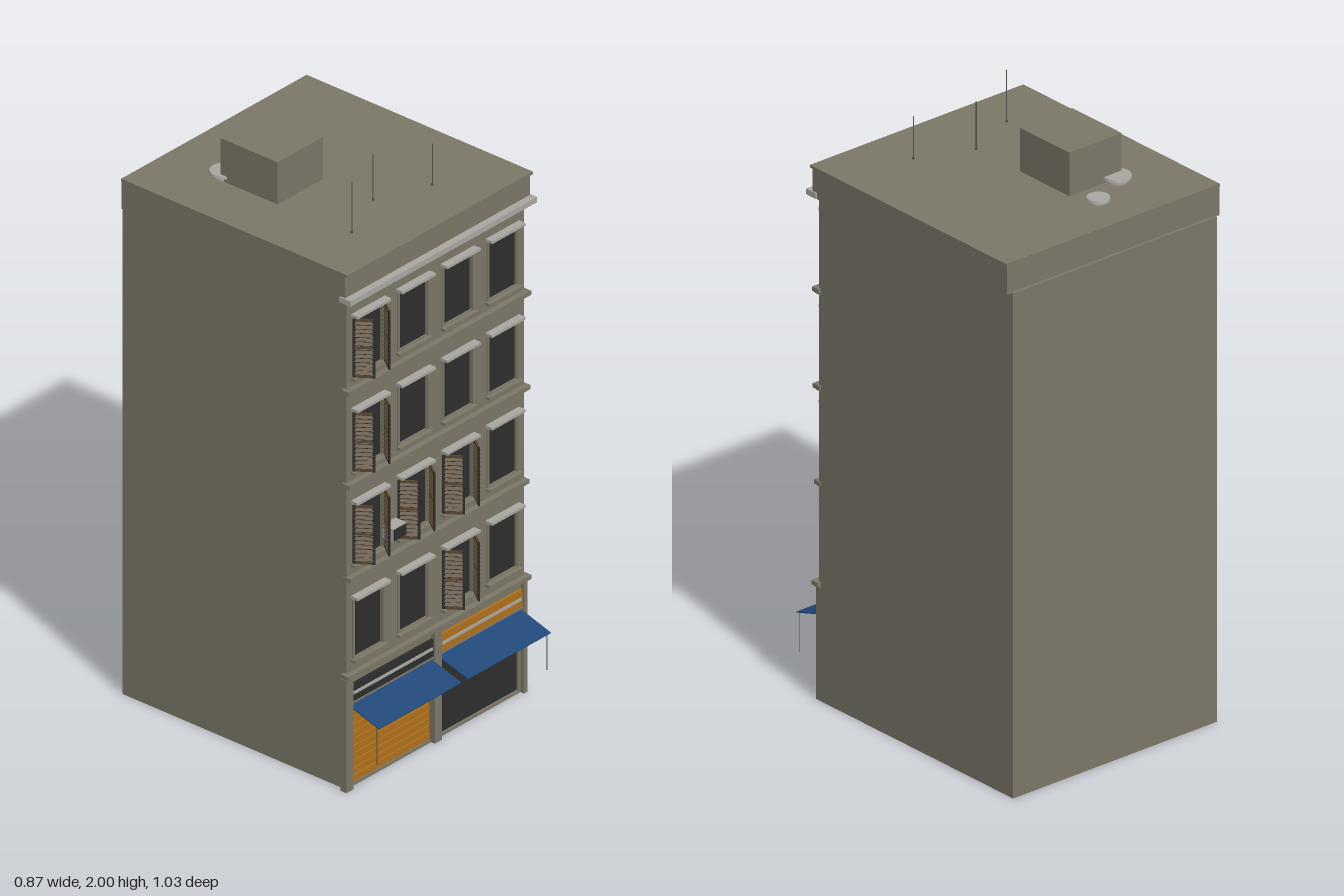
import * as THREE from 'three';

const mat = (name, color, extra = {}) => {
  const m = new THREE.MeshStandardMaterial({ color, ...extra });
  m.name = name;
  return m;
};

export function createModel() {
  const wall = mat('wall stone', 0x7b7768);
  const trim = mat('pale trim', 0xa9a7a2);
  const dark = mat('dark glass', 0x2d2d2d);
  const wood = mat('shutter wood', 0x57462e);
  const orange = mat('orange paint', 0xb0721d);
  const blue = mat('awning blue', 0x1f4879, { side: THREE.DoubleSide });
  const metal = mat('dark metal', 0x55534d);

  const model = new THREE.Group();
  model.name = 'apartmentBuilding';

  // Box given by its minimum and maximum corners
  const box = (name, m, x0, x1, y0, y1, z0, z1, parent = model) => {
    const mesh = new THREE.Mesh(new THREE.BoxGeometry(x1 - x0, y1 - y0, z1 - z0), m);
    mesh.position.set((x0 + x1) / 2, (y0 + y1) / 2, (z0 + z1) / 2);
    mesh.name = name;
    parent.add(mesh);
    return mesh;
  };
  const rod = (name, m, r, x, y0, y1, z, sides = 6, rTop = r) => {
    const mesh = new THREE.Mesh(new THREE.CylinderGeometry(rTop, r, y1 - y0, sides), m);
    mesh.position.set(x, (y0 + y1) / 2, z);
    mesh.name = name;
    model.add(mesh);
  };

  const W = 0.413, FRONT = 0.395;
  const columns = [-0.313, -0.104, 0.104, 0.313];
  const rows = [0.45, 0.785, 1.11, 1.44];
  const winW = 0.13, winH = 0.205;

  // Main block, with a front wall pierced for windows and shops
  box('mainBlock', wall, -W, W, 0, 1.72, -0.515, 0.383);
  const rect = (C, x0, x1, y0, y1) => {
    const s = new C();
    s.moveTo(x0, y0);
    s.lineTo(x1, y0);
    s.lineTo(x1, y1);
    s.lineTo(x0, y1);
    s.closePath();
    return s;
  };
  const face = rect(THREE.Shape, -W, W, 0, 1.72);
  for (const y of rows) {
    for (const x of columns) {
      face.holes.push(rect(THREE.Path, x - winW / 2, x + winW / 2, y, y + winH));
    }
  }
  face.holes.push(rect(THREE.Path, -0.39, -0.02, 0.01, 0.3));
  face.holes.push(rect(THREE.Path, 0.022, 0.388, 0.01, 0.3));
  const facade = new THREE.Mesh(
    new THREE.ExtrudeGeometry(face, { depth: FRONT - 0.383, bevelEnabled: false }), wall);
  facade.position.z = 0.383;
  facade.name = 'frontWall';
  model.add(facade);

  // Windows with lintels and sills
  for (const y of rows) {
    for (const x of columns) {
      const h = winW / 2;
      box('windowPane', dark, x - h, x + h, y, y + winH, 0.383, 0.388);
      box('windowLintel', trim, x - 0.078, x + 0.078, y + winH + 0.007, y + winH + 0.016, 0.39, 0.422);
      box('windowSill', wall, x - 0.078, x + 0.078, y - 0.012, y - 0.003, 0.39, 0.412);
      for (const s of [-1, 1]) {
        box('windowJamb', wall, x + s * 0.07 - 0.004, x + s * 0.07 + 0.004, y, y + winH, 0.39, 0.4);
      }
    }
  }

  // Half-open louvred shutters, as column and row
  const makeShutter = () => {
    const g = new THREE.Group();
    g.name = 'shutter';
    const L = 0.07, t = 0.003;
    for (const x of [0, L - 0.008]) box('shutterStile', dark, x, x + 0.008, 0, winH, -t, t, g);
    for (const y of [0, winH / 2 - 0.004, winH - 0.008]) {
      box('shutterRail', wood, 0.008, L - 0.008, y, y + 0.008, -t, t, g);
    }
    for (let i = 1; i < 14; i++) {
      const y = i * winH / 14;
      const slat = box('shutterSlat', wood, 0.006, L - 0.006, y - 0.001, y + 0.001, -0.006, 0.006, g);
      slat.rotation.x = 0.6;
    }
    return g;
  };
  for (const [c, r] of [[0, 3], [0, 2], [0, 1], [1, 1], [2, 1], [2, 0]]) {
    for (const s of [-1, 1]) {
      const shutter = makeShutter();
      shutter.position.set(columns[c] + s * 0.074, rows[r], 0.398);
      shutter.rotation.y = s < 0 ? -0.95 : 0.95 - Math.PI;
      model.add(shutter);
    }
  }

  // Floor bands, cornice and roof block
  for (const [y, w] of [[0.393, 0.427], [0.733, 0.417], [1.062, 0.422], [1.392, 0.425]]) {
    box('floorBand', wall, -w, w, y, y + 0.014, 0.385, 0.415);
    box('floorBandStep', wall, -w + 0.007, w - 0.007, y - 0.007, y, 0.385, 0.407);
  }
  box('roofBlock', wall, -0.43, 0.43, 1.716, 1.815, -0.505, 0.405);
  box('roofEdge', wall, -0.432, 0.432, 1.813, 1.822, -0.505, 0.416);
  box('cornice', trim, -0.435, 0.435, 1.718, 1.737, 0.385, 0.43);

  // Ground floor pillars
  for (const [a, b] of [[-0.43, -0.398], [-0.018, 0.016], [0.398, 0.413]]) {
    box('shopPillar', wall, a, b, 0, 0.393, 0.385, 0.41);
  }

  // Left shop: closed roller door
  box('rollerDoorBack', dark, -0.39, -0.02, 0.01, 0.3, 0.383, 0.386);
  for (let i = 0; i < 10; i++) {
    const y = 0.012 + i * 0.0255;
    box('rollerDoorSlat', orange, -0.388, -0.022, y, y + 0.0215, 0.386, 0.392);
  }
  // Right shop: dark window
  box('shopWindow', dark, 0.022, 0.388, 0.01, 0.3, 0.383, 0.388);

  // Shop sign boards, awnings and crank poles
  for (const [x0, x1, board, poleX] of [[-0.398, -0.018, dark, -0.396], [0.016, 0.398, orange, 0.396]]) {
    box('signBoard', board, x0, x1, 0.3, 0.365, 0.39, 0.404);
    box('signStripe', trim, x0 + 0.006, x1 - 0.006, 0.329, 0.339, 0.404, 0.407);
    box('signLowerEdge', wall, x0, x1, 0.298, 0.304, 0.39, 0.406);
    const awning = new THREE.Mesh(
      new THREE.BoxGeometry(x1 - x0 + 0.004, 0.003, Math.hypot(0.125, 0.038)), blue);
    awning.position.set((x0 + x1) / 2, 0.271, 0.454);
    awning.rotation.x = Math.atan2(0.038, 0.125);
    awning.name = 'awning';
    model.add(awning);
    rod('awningPole', metal, 0.0015, poleX, 0.12, 0.256, 0.505);
  }

  // Air conditioner
  box('airConditioner', trim, -0.247, -0.185, 0.815, 0.86, 0.39, 0.44);
  box('airConditionerGrille', dark, -0.244, -0.188, 0.818, 0.857, 0.44, 0.443);

  // Rooftop hut, round vents and aerials
  box('roofHut', wall, -0.238, -0.026, 1.82, 1.97, -0.27, -0.038);
  for (const [x, z, r, top] of [[-0.21, -0.28, 0.047, 1.843], [-0.071, -0.354, 0.038, 1.837]]) {
    rod('ventNeck', trim, r * 0.8, x, 1.82, top - 0.008, z, 24);
    rod('ventCap', trim, r, x, top - 0.008, top, z, 24, r * 0.96);
  }
  for (const [x, z, top] of [[-0.221, 0.25, 2], [-0.025, 0.165, 1.985], [0.165, 0.24, 1.968]]) {
    rod('aerial', metal, 0.0018, x, 1.82, top, z);
    rod('aerialFoot', metal, 0.004, x, 1.82, 1.828, z);
  }
  return model;
}
